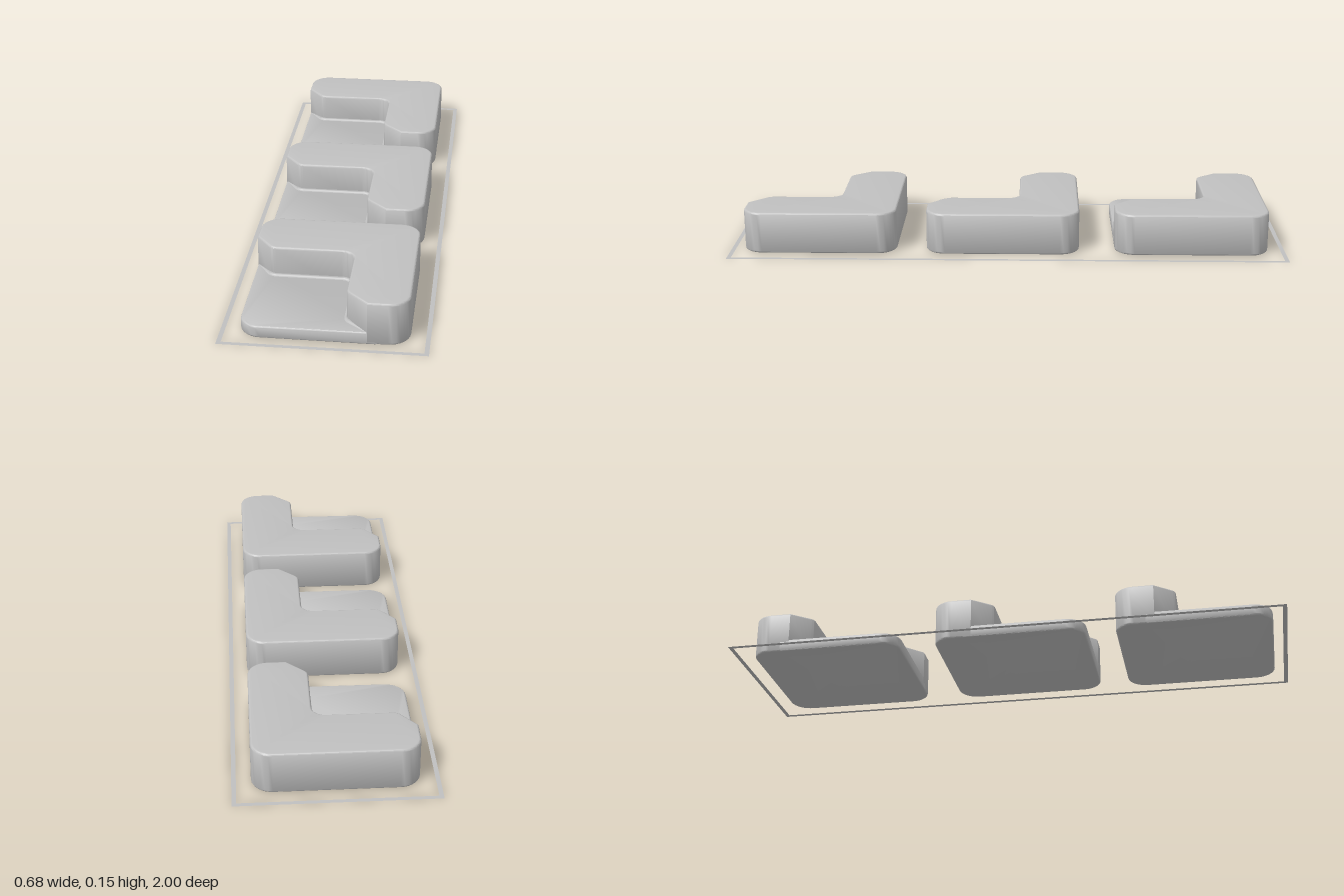
import * as THREE from 'three';
import { toCreasedNormals } from 'three/addons/utils/BufferGeometryUtils.js';

const H = 0.276;          // half width of a block
const BEVEL = 0.008;
const FLOOR = 0.043;      // height of the low shelf
const TOP = 0.15;         // height of the raised part

// Notch wall seen from above, as [x, z, corner trim]
const wall = [
  [0.14, H, 0], [0.067, 0.205, 0.015], [0.067, -0.058, 0.045],
  [-0.215, -0.058, 0.015], [-H, -0.133, 0],
];

// Draw [x, z, trim] corners into a path, rounding each one
function roundCorners(path, pts, closed) {
  const n = pts.length;
  pts.forEach(([x, z, trim], i) => {
    const p = new THREE.Vector2(x, -z);
    const toward = (q, d) => new THREE.Vector2(q[0], -q[1]).sub(p).setLength(d).add(p);
    const move = (v) => (i === 0 ? path.moveTo(v.x, v.y) : path.lineTo(v.x, v.y));
    if (!trim) { move(p); return; }
    const prev = pts[(i + n - 1) % n], next = pts[(i + 1) % n];
    const a = toward(prev, trim), b = toward(next, trim);
    const ca = toward(prev, trim * 0.45), cb = toward(next, trim * 0.45);
    move(a);
    path.bezierCurveTo(ca.x, ca.y, cb.x, cb.y, b.x, b.y);
  });
  if (closed) path.closePath();
  return path;
}

// Upright slab with softly rounded top and bottom edges
function slab(pts, height) {
  const geo = new THREE.ExtrudeGeometry(roundCorners(new THREE.Shape(), pts, true), {
    depth: height - 2 * BEVEL, curveSegments: 8,
    bevelThickness: BEVEL, bevelSize: BEVEL, bevelOffset: -BEVEL, bevelSegments: 4,
  });
  geo.rotateX(-Math.PI / 2).translate(0, BEVEL, 0);
  return toCreasedNormals(geo, 0.6);
}

// Concave blend between the notch wall and the shelf
function fillet(radius, steps) {
  const line = roundCorners(new THREE.Path(), wall, false).getPoints(8);
  const pos = [], index = [], lim = H - 0.004;
  line.forEach((p, i) => {
    const t = line[Math.min(i + 1, line.length - 1)].clone().sub(line[Math.max(i - 1, 0)]).normalize();
    for (let j = 0; j <= steps; j++) {
      const a = (j / steps) * Math.PI / 2;
      const out = radius * (1 - Math.cos(a));
      pos.push(
        THREE.MathUtils.clamp(p.x - t.y * out, -lim, lim),
        FLOOR + radius * (1 - Math.sin(a)),
        THREE.MathUtils.clamp(-p.y - t.x * out, -lim, lim));
      if (i && j) {
        const d = i * (steps + 1) + j, c = d - 1, b = d - steps - 1, e = b - 1;
        index.push(e, c, b, b, c, d);
      }
    }
  });
  const geo = new THREE.BufferGeometry();
  geo.setAttribute('position', new THREE.Float32BufferAttribute(pos, 3));
  geo.setIndex(index);
  geo.computeVertexNormals();
  return geo;
}

export function createModel() {
  const model = new THREE.Group();
  model.name = 'threeNotchedBlocks';
  const grey = new THREE.MeshStandardMaterial({ color: 0xc0c0c0, side: THREE.DoubleSide });
  grey.name = 'lightGrey';
  const add = (parent, name, geo) => {
    const mesh = new THREE.Mesh(geo, grey);
    mesh.name = name;
    parent.add(mesh);
  };

  // Shared block geometries
  const raised = slab([[-H, -H, 0.07], [H, -H, 0.07], [H, H, 0.07], ...wall], TOP);
  const shelf = slab([
    [-H, -0.165, 0], [-0.2, -0.08, 0], [0.09, -0.08, 0],
    [0.09, 0.19, 0], [0.172, H, 0], [-H, H, 0.07],
  ], FLOOR);
  const blend = fillet(0.009, 4);

  // Row of three blocks
  [-0.662, 0.018, 0.676].forEach((z, i) => {
    const block = new THREE.Group();
    block.name = `block${i + 1}`;
    block.position.z = z;
    add(block, 'raisedCorner', raised);
    add(block, 'lowShelf', shelf);
    add(block, 'wallFillet', blend);
    model.add(block);
  });

  // Flat border on the ground
  const rect = (path, x, z) => path.setFromPoints(
    [[-x, -z], [x, -z], [x, z], [-x, z]].map(([a, b]) => new THREE.Vector2(a, b)));
  const border = rect(new THREE.Shape(), 0.34, 1);
  border.holes.push(rect(new THREE.Path(), 0.325, 0.985));
  add(model, 'groundBorder', new THREE.ShapeGeometry(border).rotateX(-Math.PI / 2));

  return model;
}
